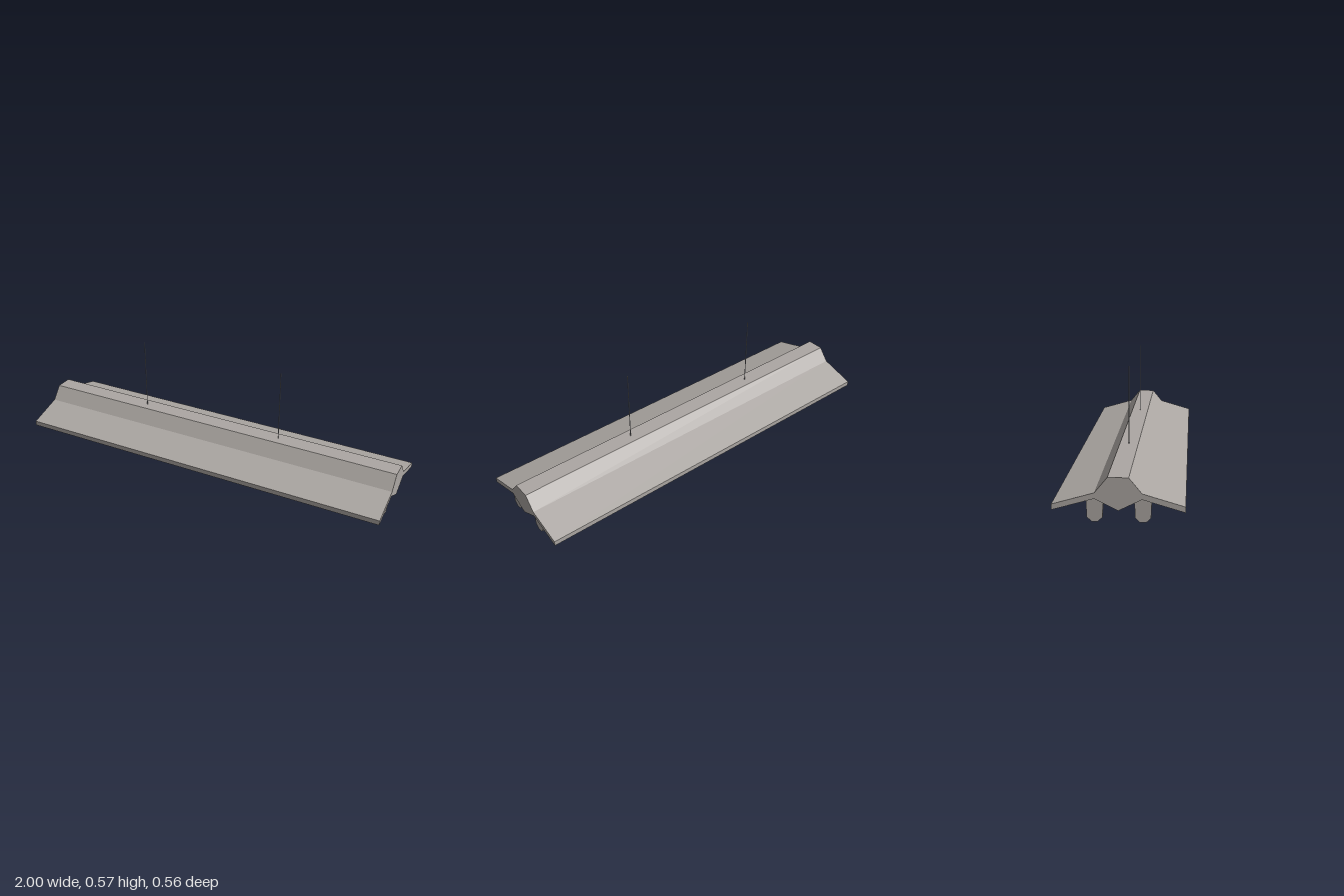
import * as THREE from 'three';

// Extrude a (z, y) outline along x, centred on the given x
function extrudeAlongX(outline, length, x, material, name) {
  const shape = new THREE.Shape(outline.map(([z, y]) => new THREE.Vector2(z, y)));
  const geo = new THREE.ExtrudeGeometry(shape, { depth: length, bevelEnabled: false });
  geo.translate(0, 0, -length / 2);
  geo.rotateY(-Math.PI / 2);
  const mesh = new THREE.Mesh(geo, material);
  mesh.position.x = x;
  mesh.name = name;
  return mesh;
}

function cylinderAlongX(radius, length, x, y, z, material, name) {
  const geo = new THREE.CylinderGeometry(radius, radius, length, 20);
  geo.rotateZ(Math.PI / 2);
  const mesh = new THREE.Mesh(geo, material);
  mesh.position.set(x, y, z);
  mesh.name = name;
  return mesh;
}

export function createModel() {
  const model = new THREE.Group();
  model.name = 'hangingLampFixture';
  const painted = new THREE.MeshStandardMaterial({ color: 0xaca7a3 });
  painted.name = 'warm grey paint';
  const glass = new THREE.MeshStandardMaterial({ color: 0xa9a9ae });
  glass.name = 'cool grey tube';

  // Housing with sloping reflector wings and a V-shaped underside
  const half = [[0.044, 0.2], [0.099, 0.133], [0.278, 0.081], [0.278, 0.056], [0.099, 0.108]];
  const mirrored = half.map(([z, y]) => [-z, y]).reverse();
  model.add(extrudeAlongX([...half, [0, 0.058], ...mirrored], 2, 0, painted, 'housing'));

  // Two lamp tubes, each held by a pair of sockets
  const socketOutline = [[-0.013, 0.003], [0.013, 0.003], [0.033, 0.022], [0.036, 0.094],
    [0, 0.106], [-0.036, 0.094], [-0.033, 0.022]];
  for (const z of [0.102, -0.1]) {
    const lamp = new THREE.Group();
    lamp.name = z > 0 ? 'frontLamp' : 'backLamp';
    const tubeY = 0.041;
    lamp.add(cylinderAlongX(0.024, 1.82, 0, tubeY, z, glass, 'tube'));
    for (const side of [-1, 1]) {
      const socket = extrudeAlongX(socketOutline, 0.02, side * 0.97, painted, 'socket');
      socket.position.z = z;
      lamp.add(socket);
      lamp.add(cylinderAlongX(0.025, 0.05, side * 0.925, tubeY, z, painted, 'tubeCap'));
      lamp.add(cylinderAlongX(0.018, 0.02, side * 0.955, tubeY, z, painted, 'tubeCollar'));
    }
    model.add(lamp);
  }

  // Suspension rods
  for (const x of [-0.427, 0.362]) {
    const rod = new THREE.Mesh(new THREE.CylinderGeometry(0.002, 0.002, 0.374, 8), glass);
    rod.position.set(x, 0.386, 0);
    rod.name = 'suspensionRod';
    model.add(rod);
  }
  return model;
}
